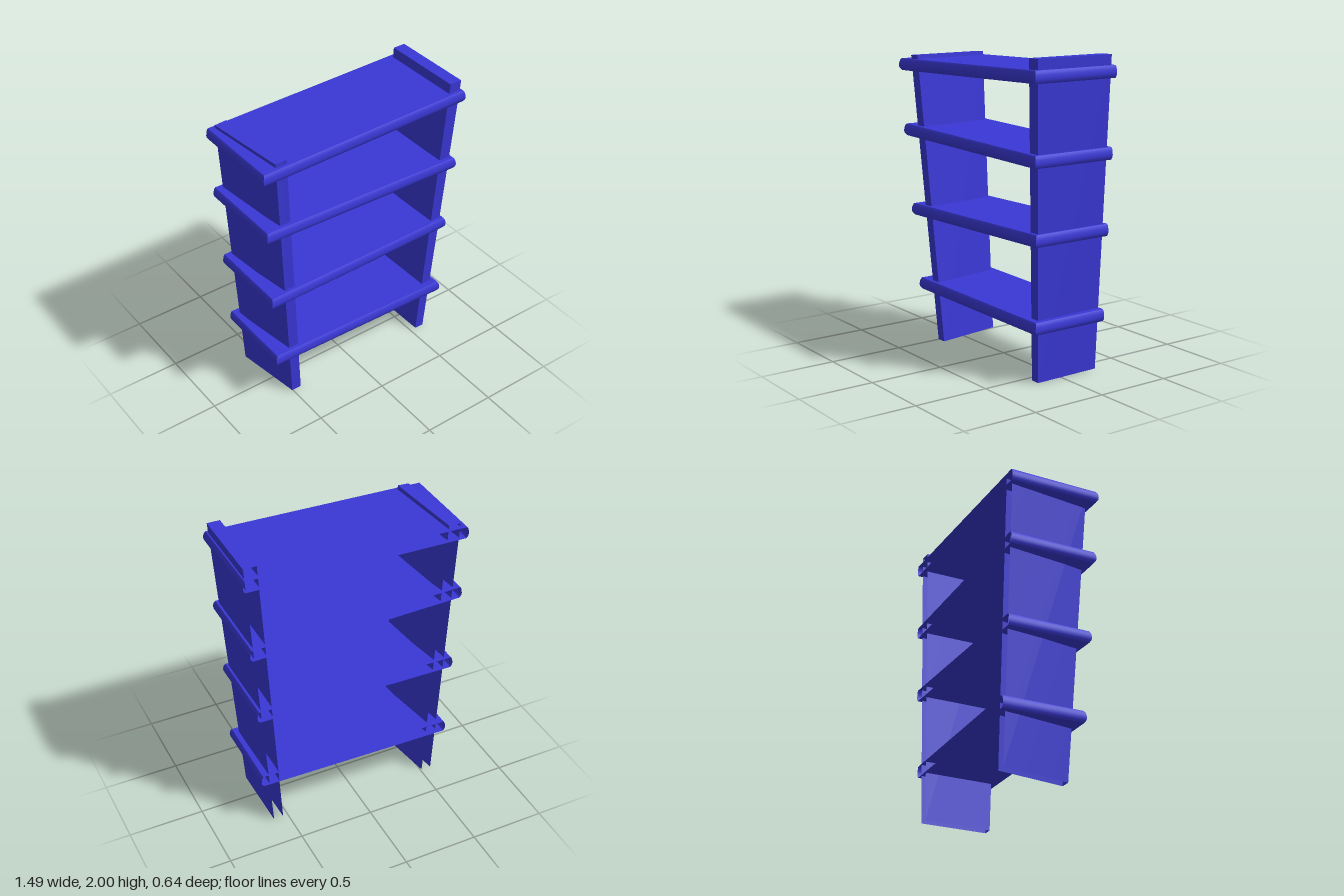
import * as THREE from 'three';
import { toCreasedNormals } from 'three/addons/utils/BufferGeometryUtils.js';

const material = new THREE.MeshStandardMaterial({ color: 0x3a38d6, side: THREE.DoubleSide });

// Mesh from four-cornered faces, each counter-clockwise from outside
function quadMesh(name, quads) {
  const pos = [];
  for (const [a, b, c, d] of quads) pos.push(...a, ...b, ...c, ...a, ...c, ...d);
  const geo = new THREE.BufferGeometry();
  geo.setAttribute('position', new THREE.Float32BufferAttribute(pos, 3));
  const mesh = new THREE.Mesh(toCreasedNormals(geo, 0.8), material);
  mesh.name = name;
  return mesh;
}

// Side walls between stacked outlines [backLeft, frontLeft, frontRight, backRight]; back stays open
function walls(layers) {
  const quads = [];
  for (let i = 0; i + 1 < layers.length; i++) {
    const lo = layers[i], hi = layers[i + 1];
    for (let k = 0; k < 3; k++) quads.push([lo[k], lo[k + 1], hi[k + 1], hi[k]]);
  }
  return quads;
}

// Upright board, open at the back and underneath
function upright(name, bottom, top) {
  return quadMesh(name, [...walls([bottom, top]), [...top]]);
}

// Crooked shelf with a softly rounded rim on its ends and front; open at the back
// Each end: x, bottom height, back z, front z
function shelf(name, l, r, thick = 0.078) {
  const rim = [[0, 0.014], [0.2, 0.003], [0.4, 0], [0.65, 0.002], [0.85, 0.006], [1, 0.013]];
  const layers = rim.map(([t, inset]) => {
    const ly = l.y + t * thick, ry = r.y + t * thick;
    return [
      [l.x + inset, ly, l.back], [l.x + inset, ly, l.front - inset],
      [r.x - inset, ry, r.front - inset], [r.x - inset, ry, r.back],
    ];
  });
  const base = [...layers[0]].reverse();
  return quadMesh(name, [...walls(layers), base, layers[layers.length - 1]]);
}

export function createModel() {
  const group = new THREE.Group();
  group.name = 'bookcase';

  // Leaning side boards; the right one is also twisted
  group.add(upright('leftUpright',
    [[0.535, 0, -0.28], [0.545, 0, 0.18], [0.608, 0, 0.18], [0.6, 0, -0.28]],
    [[0.64, 2, -0.272], [0.64, 2, 0.285], [0.724, 2, 0.285], [0.724, 2, -0.272]]));
  group.add(upright('rightUpright',
    [[-0.577, 0, -0.28], [-0.505, 0, 0.18], [-0.437, 0, 0.18], [-0.51, 0, -0.28]],
    [[-0.697, 1.925, -0.275], [-0.642, 1.93, 0.283], [-0.565, 1.935, 0.283], [-0.617, 1.93, -0.275]]));

  // Shelves from bottom to top: x, y, back, front at each end
  const end = ([x, y, back, front]) => ({ x, y, back, front });
  const shelves = [
    [[-0.652, 0.335, -0.32, 0.235], [0.678, 0.328, -0.285, 0.255]],
    [[-0.69, 0.85, -0.298, 0.265], [0.69, 0.875, -0.298, 0.265]],
    [[-0.725, 1.39, -0.298, 0.295], [0.718, 1.357, -0.298, 0.295]],
    [[-0.745, 1.825, -0.3, 0.315], [0.742, 1.857, -0.3, 0.317]],
  ];
  shelves.forEach(([l, r], i) => group.add(shelf(`shelf${i + 1}`, end(l), end(r))));
  return group;
}
